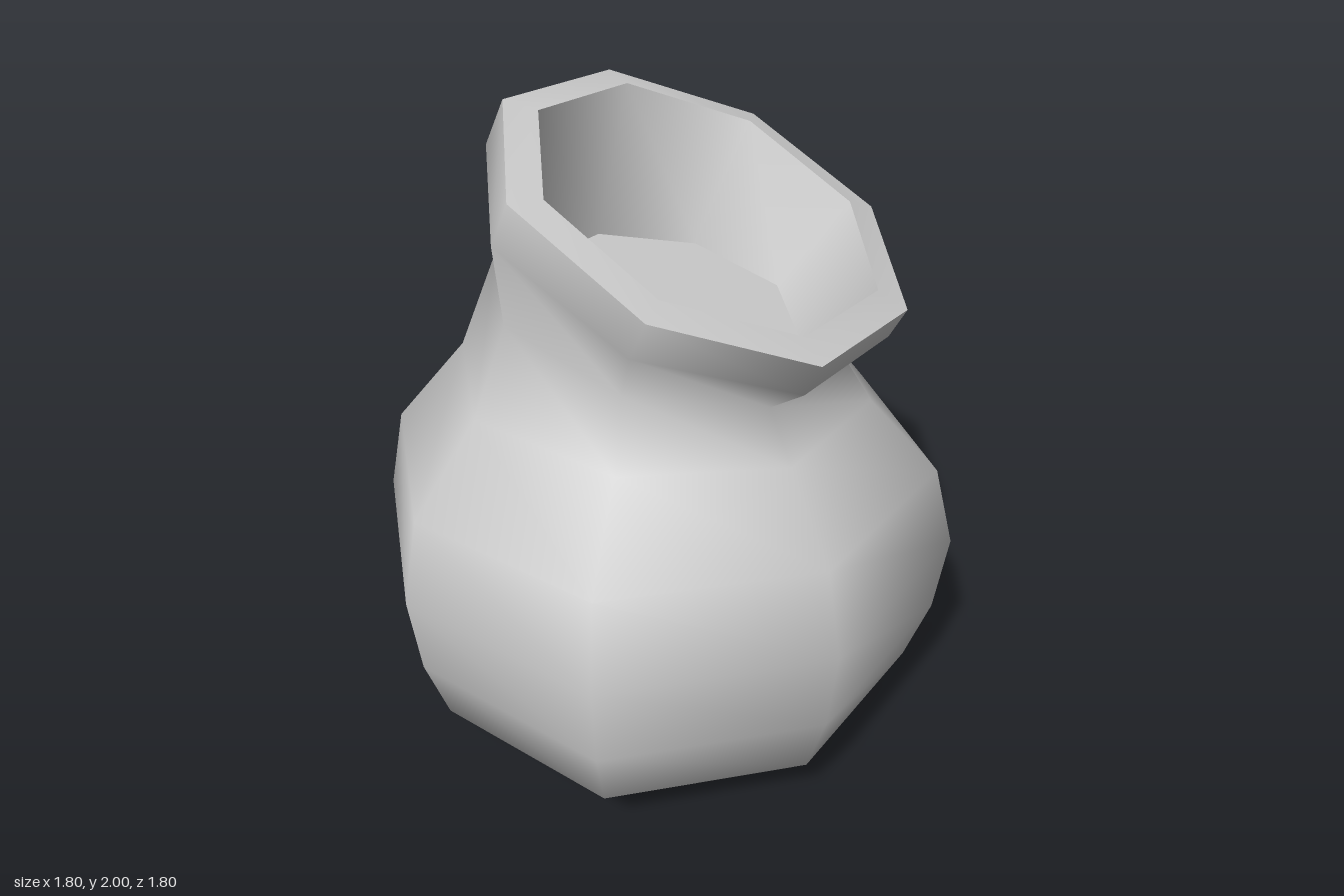
import * as THREE from 'three';

const SIDES = 8;

// A ring is [centre, arm toward +x, arm toward +z, bulge of the diagonal corners].
// With no arms it is a single closing point.
function loft(rings, name) {
  const pos = [], idx = [], start = [];
  for (const [c, a, b, k = 1] of rings) {
    start.push(pos.length / 3);
    if (!a) { pos.push(...c); continue; }
    for (let i = 0; i < SIDES; i++) {
      const t = (i / SIDES) * Math.PI * 2, diag = i % 2 === 1;
      const s = diag ? k : 1;
      for (let n = 0; n < 3; n++) {
        const lift = n === 1 && diag ? (k - 1) * 0.1 : 0;
        pos.push(c[n] + s * (a[n] * Math.cos(t) + b[n] * Math.sin(t)) + lift);
      }
    }
  }
  const at = (j, i) => start[j] + (rings[j][1] ? i % SIDES : 0);
  for (let j = 0; j < rings.length - 1; j++) {
    for (let i = 0; i < SIDES; i++) {
      const p = at(j, i), q = at(j, i + 1), r = at(j + 1, i + 1), s = at(j + 1, i);
      if (s !== r) idx.push(p, s, r);
      if (p !== q) idx.push(p, r, q);
    }
  }
  const geo = new THREE.BufferGeometry();
  geo.setAttribute('position', new THREE.Float32BufferAttribute(pos, 3));
  geo.setIndex(idx);
  geo.computeVertexNormals();
  const mesh = new THREE.Mesh(geo, new THREE.MeshStandardMaterial({ color: 0xcccccc }));
  mesh.name = name;
  return mesh;
}

export function createModel() {
  const group = new THREE.Group();
  group.name = 'leaningPot';

  // Rings shared between neighbouring parts, so that the edges stay sharp
  const rimOuter = [[0.11, 1.73, 0.067], [0.63, -0.15, 0], [-0.05, -0.225, 0.604]];
  const rimInner = [[0.115, 1.745, 0.073], [0.53, -0.125, 0], [-0.045, -0.195, 0.507]];
  const floorRing = [[0.03, 1.41, -0.02], [0.42, -0.06, 0], [-0.01, -0.065, 0.405]];

  // Outside: rounded belly, shoulder, pinched neck and flared mouth
  group.add(loft([
    [[0, 0, 0]],
    [[0, 0.05, 0], [0.54, 0, 0], [0, 0, 0.54], 1.2],
    [[0, 0.195, 0], [0.8, -0.005, 0], [0, 0.005, 0.8], 1.03],
    [[0, 0.41, 0], [0.87, -0.01, 0], [0, 0.015, 0.87], 1.03],
    [[0, 0.665, 0], [0.9, -0.015, 0], [0, 0.035, 0.9], 1.03],
    [[0, 0.925, -0.01], [0.84, -0.025, 0], [0, 0.035, 0.84], 1.03],
    [[0.02, 1.17, -0.027], [0.64, -0.04, 0], [0, 0.005, 0.648]],
    [[0.042, 1.4, -0.027], [0.548, -0.08, 0], [-0.02, -0.087, 0.538]],
    [[0.08, 1.61, 0.02], [0.63, -0.14, 0], [-0.04, -0.205, 0.61]],
    rimOuter,
  ], 'body'));

  // Flat tilted lip, inner wall of the mouth and its floor
  group.add(loft([rimOuter, rimInner], 'rim'));
  group.add(loft([rimInner, floorRing], 'mouthWall'));
  group.add(loft([floorRing, [floorRing[0]]], 'mouthFloor'));

  return group;
}
